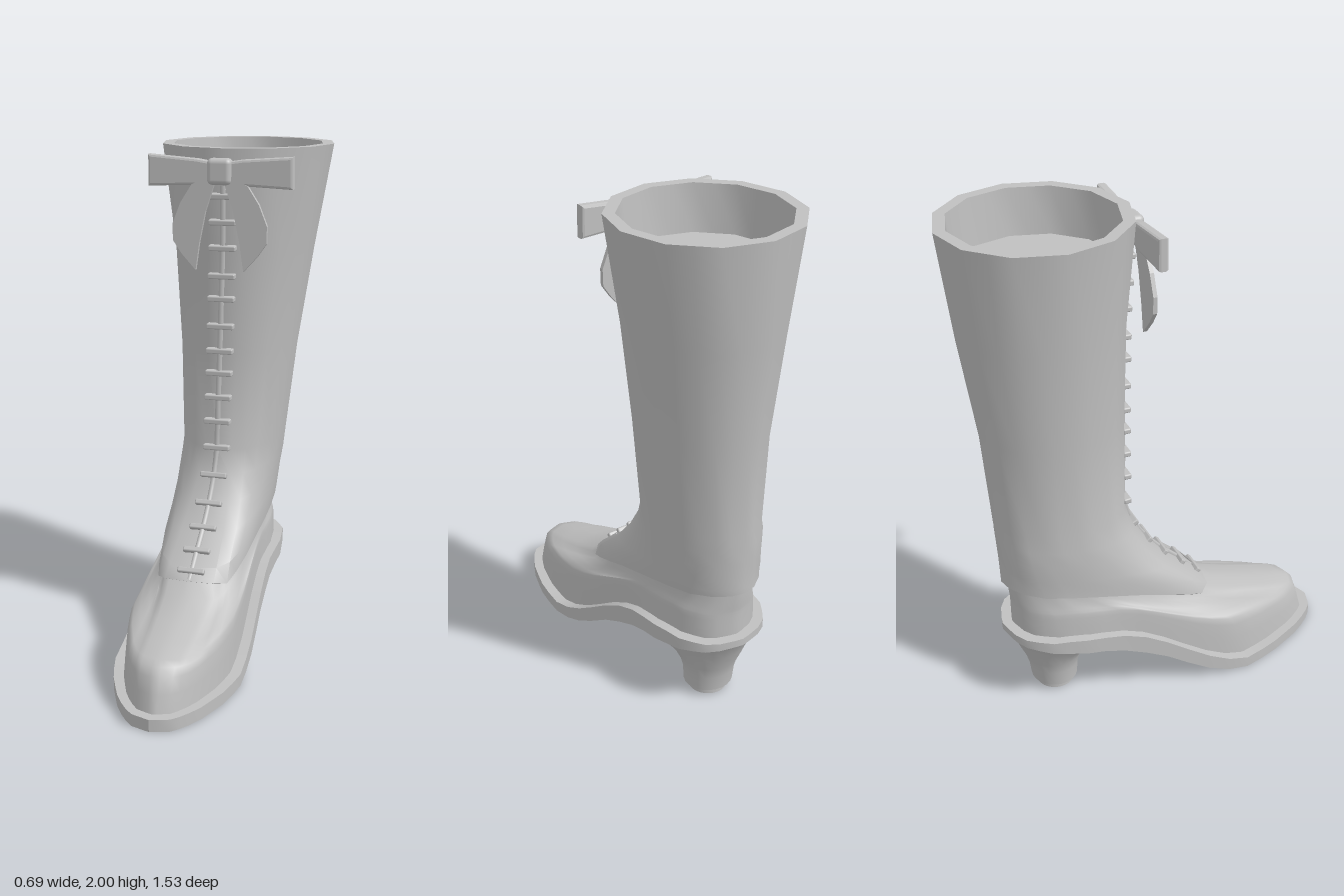
import * as THREE from 'three';
import { toCreasedNormals } from 'three/addons/utils/BufferGeometryUtils.js';
import { RoundedBoxGeometry } from 'three/addons/geometries/RoundedBoxGeometry.js';

const grey = new THREE.MeshStandardMaterial({ color: 0xc0c0c0 });
grey.name = 'grey leather';

// Linear interpolation in a short table of [key, value] pairs
function look(table, k) {
  if (k <= table[0][0]) return table[0][1];
  for (let i = 1; i < table.length; i++) {
    const [k0, v0] = table[i - 1], [k1, v1] = table[i];
    if (k <= k1) return v0 + (v1 - v0) * (k - k0) / (k1 - k0);
  }
  return table[table.length - 1][1];
}

// Closed ring from back to front; s runs 0 (back) to 1 (front)
function ring(n, zb, zf, cx, width, y) {
  const pts = [];
  for (let i = 0; i < n; i++) {
    const phi = (i / n) * Math.PI * 2;
    const s = (1 - Math.cos(phi)) / 2, z = zb + (zf - zb) * s;
    const side = i === 0 || i * 2 === n ? 0 : Math.sign(Math.sin(phi));
    pts.push(new THREE.Vector3(cx(z) + side * width(s, z), y(z, s), z));
  }
  return pts;
}

// Skin over a stack of rings, with optional caps
function loft(rings, capBottom, capTop, crease = 0.7) {
  const n = rings[0].length, idx = [], pos = [];
  rings.forEach(r => r.forEach(p => pos.push(p.x, p.y, p.z)));
  for (let r = 0; r < rings.length - 1; r++) {
    for (let i = 0; i < n; i++) {
      const j = (i + 1) % n, a = r * n + i, b = r * n + j, c = b + n, d = a + n;
      idx.push(a, d, c, a, c, b);
    }
  }
  const cap = (o, up) => {
    for (let i = 0; i < n / 2; i++) {
      const a = o + i, b = o + i + 1, c = o + n - i - 1, d = o + ((n - i) % n);
      const tris = [];
      if (b !== c) tris.push([a, b, c]);
      if (a !== d) tris.push([a, c, d]);
      tris.forEach(t => idx.push(...(up ? t.reverse() : t)));
    }
  };
  if (capBottom) cap(0, false);
  if (capTop) cap((rings.length - 1) * n, true);
  const g = new THREE.BufferGeometry();
  g.setAttribute('position', new THREE.Float32BufferAttribute(pos, 3));
  g.setIndex(idx);
  return toCreasedNormals(g, crease);
}

// Sole outline and its rise from ball to heel
const SOLE_W = [[-.635, 0], [-.62, .08], [-.58, .145], [-.5, .2], [-.35, .228], [-.2, .225], [0, .24], [.2, .255],
  [.35, .255], [.5, .215], [.63, .16], [.7, .115], [.745, .07], [.765, 0]];
const SOLE_CX = [[-.6, -.06], [0, -.075], [.3, -.078], [.5, -.06], [.76, -.04]];
const SOLE_TOP = [[-.4, .345], [-.3, .335], [-.2, .315], [-.1, .28], [0, .22], [.1, .15], [.2, .09], [.28, .058], [.34, .048]];
const SOLE_BOTTOM = [[-.63, .315], [-.25, .26], [-.18, .23], [-.1, .2], [0, .15], [.1, .08], [.2, .03], [.27, .01], [.35, 0]];
const soleRing = (inset, y) => ring(48, -.635 + inset, .765 - inset, z => look(SOLE_CX, z),
  s => look(SOLE_W, -.635 + 1.4 * s) * (1 - inset / .255), y);

// Shaft outline: round at the top, long and blunt at the cuff
const CUFF_W = [[0, 0], [.01, .24], [.05, .55], [.15, .86], [.3, 1], [.5, 1], [.75, .92], [.9, .8], [.96, .68], [.985, .5], [1, 0]];
function shaftRing(n, [yf, yb, zf, zb, xl, xr, blend], inset = 0, lift = 0, notch = 0) {
  const rx = (xr - xl) / 2 - inset, mid = (xl + xr) / 2;
  const pts = ring(n, zb + inset, zf - inset, () => mid,
    s => rx * ((1 - blend) * 2 * Math.sqrt(s * (1 - s)) + blend * look(CUFF_W, s)),
    (z, s) => yb + (yf - yb) * s ** 1.8 + lift + notch * Math.max(0, s - .93) / .07);
  // straight facets on the upright part
  if (blend === 0) {
    for (let i = 1; i < n; i += 2) pts[i].copy(pts[i - 1]).add(pts[(i + 1) % n]).multiplyScalar(.5);
  }
  return pts;
}
const CUFF = [.305, .54, .23, -.63, -.255, .13, 1];
const SHAFT = [
  [.4, .58, .185, -.63, -.255, .135, .9],
  [.5, .63, .065, -.63, -.257, .14, .7],
  [.6, .69, -.02, -.632, -.257, .147, .45],
  [.7, .76, -.08, -.635, -.257, .157, .2],
  [.8, .82, -.108, -.64, -.255, .17, 0],
  [1.2, 1.2, -.103, -.665, -.265, .215, 0],
  [1.6, 1.6, -.09, -.72, -.295, .275, 0],
  [2, 2, -.055, -.765, -.35, .345, 0],
];

// Front line of the shaft, followed by the lacing
const FRONT_Z = [[.35, .225], ...SHAFT.map(r => [r[0], r[2]])];
const FRONT_X = [[.35, -.062], [.9, -.044], [1.4, -.025], [2, -.004]];
const frontPoint = y => new THREE.Vector3(look(FRONT_X, y), y, look(FRONT_Z, y));

function add(parent, name, geometry) {
  const m = new THREE.Mesh(geometry, grey);
  m.name = name;
  parent.add(m);
  return m;
}

function plate(points, depth, bevel) {
  const shape = new THREE.Shape(points.map(p => new THREE.Vector2(...p)));
  const g = new THREE.ExtrudeGeometry(shape, { depth, bevelEnabled: bevel > 0, bevelSize: bevel, bevelThickness: bevel, bevelSegments: 2 });
  return g.translate(0, 0, -depth / 2);
}

export function createModel() {
  const boot = new THREE.Group();
  boot.name = 'boot';

  add(boot, 'sole', loft([
    soleRing(0, z => look(SOLE_BOTTOM, z)),
    soleRing(0, z => look(SOLE_TOP, z)),
  ], true, true, .5));

  // Waisted heel, from the tip up to the seat: [y, front z, back z, half width]
  const heelRing = ([y, zf, zb, w]) => ring(24, zb, zf, () => -.06, s => 2 * w * Math.sqrt(s * (1 - s)), () => y);
  add(boot, 'heel', loft([
    [.035, -.335, -.522, .1], [.1, -.33, -.53, .105], [.15, -.315, -.545, .118], [.2, -.28, -.567, .14],
    [.23, -.2, -.58, .16], [.285, -.17, -.605, .19], [.32, -.15, -.63, .205],
  ].map(heelRing), true, false));
  add(boot, 'heelTip', loft([[0, -.35, -.5, .075], [.045, -.35, -.5, .075]].map(heelRing), true, false));

  // Foot upper: sweeps from the sole edge over the toe to the cuff
  const base = soleRing(.04, z => look(SOLE_TOP, z) - .003);
  const top = shaftRing(48, CUFF, .025, .02, .04);
  const sweep = [[0, 0], [.04, .22], [.08, .4], [.13, .49], [.2, .53], [.38, .6], [.6, .7], [.85, .84], [1, 1]];
  add(boot, 'footUpper', loft(sweep.map(([a, b]) => base.map((p, i) => {
    const q = p.clone().lerp(top[i], a);
    q.y = p.y + (top[i].y - p.y) * b;
    return q;
  })), false, false, .9));

  // Shaft: cuff lining, cuff edge, outside, rim, inside and inner floor
  const rim = SHAFT[SHAFT.length - 1];
  const n = 24;
  add(boot, 'shaft', loft([
    shaftRing(n, CUFF, .04, .06, .04),
    shaftRing(n, CUFF, .025, 0, .045),
    shaftRing(n, CUFF, 0, .012, .045),
    ...SHAFT.map(r => shaftRing(n, r)),
    shaftRing(n, rim, .045),
    shaftRing(n, rim, .058, -.18),
  ], false, true));

  // Lacing: seam cord and rungs
  const lacing = new THREE.Group();
  lacing.name = 'lacing';
  boot.add(lacing);
  const path = [.36, .45, .52, .6, .7, .8, 1, 1.2, 1.4, 1.6, 1.8, 1.92].map(frontPoint);
  add(lacing, 'seamCord', new THREE.TubeGeometry(new THREE.CatmullRomCurve3(path), 48, .011, 6));
  const rung = new RoundedBoxGeometry(.11, .022, .032, 1, .006);
  for (const y of [.39, .45, .52, .6, .7, .81, .92, 1.02, 1.12, 1.21, 1.31, 1.42, 1.51, 1.62, 1.72, 1.82]) {
    const m = add(lacing, 'laceRung', rung);
    m.position.copy(frontPoint(y));
    const d = frontPoint(y + .03).sub(frontPoint(y - .03));
    m.rotation.x = Math.atan2(d.z, d.y);
  }

  // Bow: two loops, two tails and a knot
  const bow = new THREE.Group();
  bow.name = 'bow';
  bow.position.set(-.014, 1.915, -.053);
  boot.add(bow);
  const loop = plate([[.02, -.025], [.09, -.042], [.275, -.05], [.275, .05], [.09, .036], [.02, .025]], .02, .01);
  const tail = plate([[.015, -.03], [.05, -.02], [.11, -.05], [.155, -.12], [.187, -.2], [.185, -.265],
    [.15, -.315], [.095, -.375], [.08, -.27], [.055, -.15]], .016, 0);
  for (const turn of [0, Math.PI]) {
    add(bow, 'bowLoop', loop).rotation.y = turn;
    const t = add(bow, 'bowTail', tail);
    t.rotation.y = turn;
    t.position.z = .012;
  }
  add(bow, 'bowKnot', new RoundedBoxGeometry(.096, .1, .055, 3, .02)).position.z = .008;

  return boot;
}
